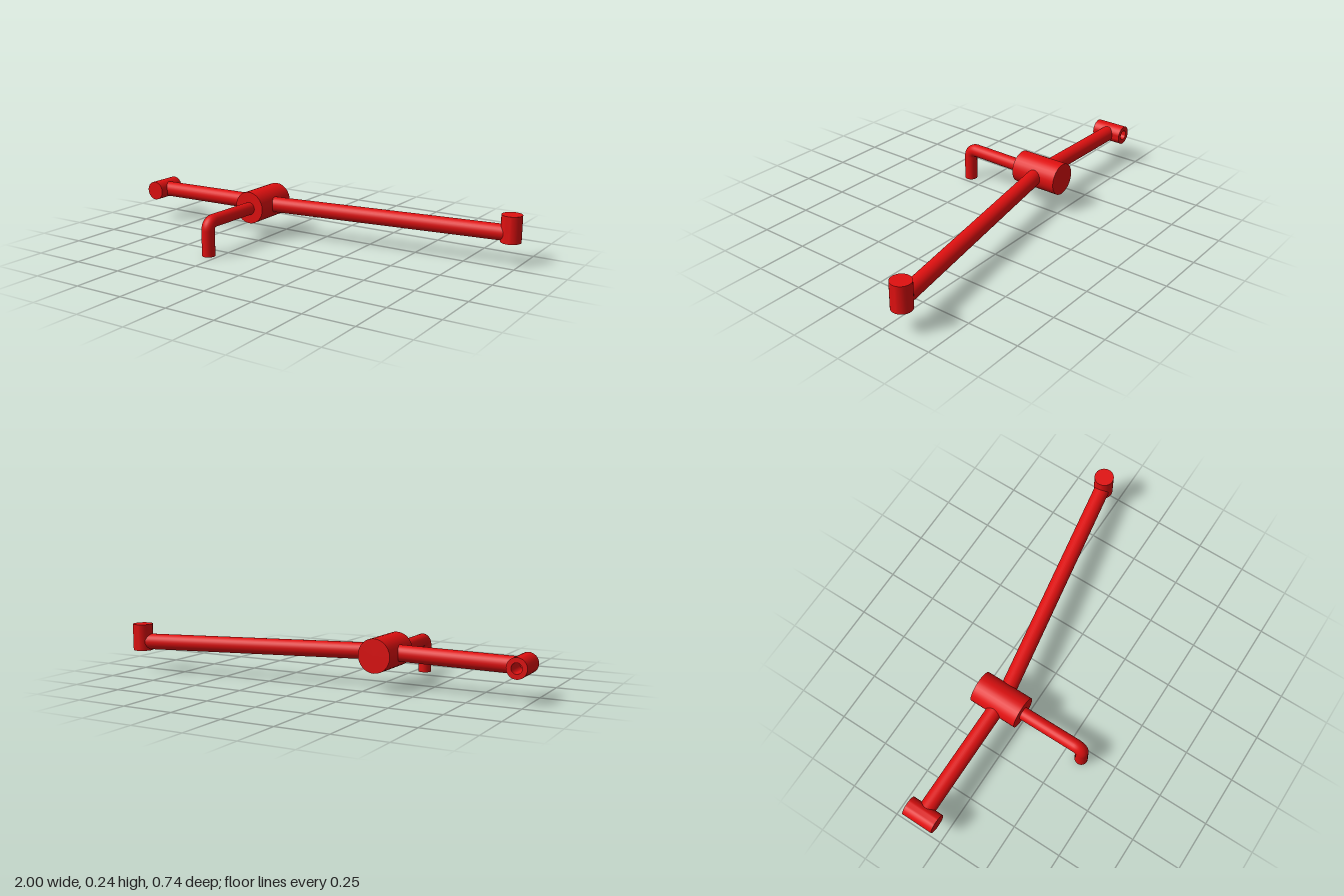
import * as THREE from 'three';
import { toCreasedNormals } from 'three/addons/utils/BufferGeometryUtils.js';

const material = new THREE.MeshStandardMaterial({ color: 0xe01010 });
const SIDES = 32;
const V = (x, y, z) => new THREE.Vector3(x, y, z);

function part(name, geometry) {
  const mesh = new THREE.Mesh(geometry, material);
  mesh.name = name;
  return mesh;
}

// Solid round bar between two points
function rod(name, a, b, radius) {
  const mesh = part(name, new THREE.CylinderGeometry(radius, radius, a.distanceTo(b), SIDES));
  mesh.position.copy(a).lerp(b, 0.5);
  mesh.quaternion.setFromUnitVectors(V(0, 1, 0), b.clone().sub(a).normalize());
  return mesh;
}

// Cylinder with a blind hole; the mouth sits at local y = 0
function socket(name, radius, hole, length, depth) {
  const profile = [[0, depth], [hole, depth], [hole, 0], [radius, 0], [radius, length], [0, length]]
    .map(([x, y]) => new THREE.Vector2(x, y));
  return part(name, toCreasedNormals(new THREE.LatheGeometry(profile, SIDES), 0.6));
}

export function createModel() {
  const group = new THREE.Group();
  const hubX = -0.3, hubY = 0.164;

  // Hub lying along z
  group.add(rod('hub', V(hubX, hubY, -0.237), V(hubX, hubY, 0.008), 0.08));

  // Bent handle: out of the hub, then down to the ground
  const zEnd = 0.338, bend = 0.038, k = bend * 0.4477;
  const path = new THREE.CurvePath();
  const bendStart = V(hubX, hubY, zEnd - bend), bendEnd = V(hubX, hubY - bend, zEnd);
  path.add(new THREE.LineCurve3(V(hubX, hubY - 0.004, -0.02), bendStart));
  path.add(new THREE.CubicBezierCurve3(bendStart, V(hubX, hubY, zEnd - k), V(hubX, hubY - k, zEnd), bendEnd));
  path.add(new THREE.LineCurve3(bendEnd, V(hubX, 0, zEnd)));
  const handle = new THREE.Group();
  handle.name = 'handle';
  handle.add(part('handleBar', new THREE.TubeGeometry(path, 100, 0.032, 24)));
  const cap = part('handleEnd', new THREE.CircleGeometry(0.032, 24).rotateX(Math.PI / 2));
  cap.position.set(hubX, 0, zEnd);
  handle.add(cap);
  group.add(handle);

  // Short arm and its socket, open to the back
  group.add(rod('shortArm', V(hubX, 0.166, -0.11), V(-0.925, 0.158, -0.11), 0.039));
  const backSocket = socket('shortArmSocket', 0.048, 0.025, 0.16, 0.12);
  backSocket.rotation.x = Math.PI / 2;
  backSocket.position.set(-0.952, 0.158, -0.19);
  group.add(backSocket);

  // Long arm and its socket, open downwards
  group.add(rod('longArm', V(hubX, 0.166, -0.106), V(0.925, 0.151, -0.315), 0.039));
  const downSocket = socket('longArmSocket', 0.049, 0.025, 0.131, 0.1);
  downSocket.position.set(0.951, 0.108, -0.32);
  group.add(downSocket);

  return group;
}
